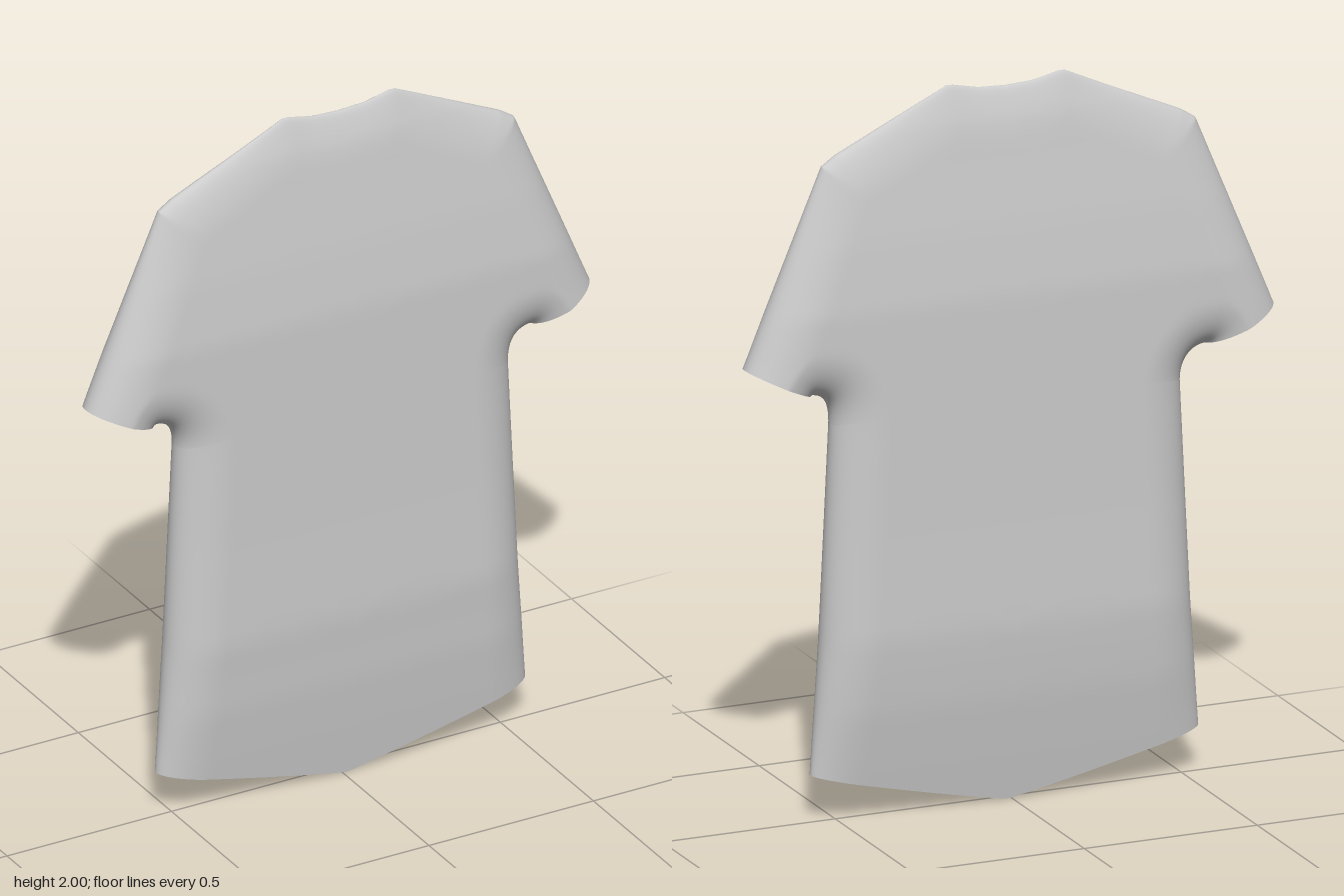
import * as THREE from 'three';
import { mergeVertices } from 'three/addons/utils/BufferGeometryUtils.js';

// Half outline of the shirt (mirrored in x)
const TOP = [[0, 1.977], [0.08, 1.981], [0.165, 2], [0.3, 1.937], [0.5, 1.845], [0.54, 1.818]];
const SIDE = [[0.13, 0.56], [0.5, 0.532], [1.1, 0.503], [1.818, 0.54]]; // y, x
const HEM_Y = 0.13, PIT_Y = 1.1, SHOULDER_Y = 1.818;
const CUFF_IN = new THREE.Vector2(0.57, 1.19), CUFF_OUT = new THREE.Vector2(0.762, 1.28);
const PIT = new THREE.Vector2(0.503, PIT_Y);
const underarm = new THREE.QuadraticBezierCurve(PIT, new THREE.Vector2(0.503, 1.185), CUFF_IN);
// Half thickness by height
const THICK = [[0, 0.031], [0.13, 0.05], [0.3, 0.073], [0.5, 0.089], [0.8, 0.086], [1.42, 0.085],
  [1.6, 0.069], [1.8, 0.046], [1.9, 0.035], [2, 0.018]];
const COLS = 44, BODY_ROWS = 30, ARM_ROWS = 40, ARM_COLS = 16;

function interp(table, x) {
  let i = 1;
  while (i < table.length - 1 && x > table[i][0]) i++;
  const [a, b] = [table[i - 1], table[i]];
  return a[1] + (b[1] - a[1]) * (x - a[0]) / (b[0] - a[0]);
}

// Closed seams: neck, shoulder and sleeve top; flank and underarm
const seams = [
  [...TOP, [CUFF_OUT.x, CUFF_OUT.y]],
  [...SIDE.slice(0, 3).map(([y, x]) => [x, y]),
    ...underarm.getPoints(ARM_COLS).slice(1).map((p) => [p.x, p.y])],
];

function seamDistance(x, y) {
  let best = Infinity;
  for (const line of seams) {
    for (let i = 1; i < line.length; i++) {
      const [ax, ay] = line[i - 1], dx = line[i][0] - ax, dy = line[i][1] - ay;
      const t = THREE.MathUtils.clamp(((x - ax) * dx + (y - ay) * dy) / (dx * dx + dy * dy), 0, 1);
      best = Math.min(best, Math.hypot(x - ax - t * dx, y - ay - t * dy));
    }
  }
  return best < 1e-5 ? 0 : best;
}

// Cloth puffs out from the seams with a rounded edge
function puff(x, y, face) {
  const t = Math.min(1, seamDistance(x, y) / 0.14);
  const round = Math.sqrt(1 - (1 - t) ** 2);
  return round * (face * interp(THICK, y) + 0.007 * Math.max(0, 1 - y / 0.4));
}

const ease = (t) => (1 - Math.cos(Math.PI * t)) / 2; // denser towards the seams

// Heights of the torso rows along the flank and armhole
const rowHeights = [];
for (let j = 0; j < BODY_ROWS; j++) rowHeights.push(HEM_Y + (PIT_Y - HEM_Y) * j / BODY_ROWS);
for (let j = 0; j <= ARM_ROWS; j++) rowHeights.push(PIT_Y + (SHOULDER_Y - PIT_Y) * ease(j / ARM_ROWS));

function torsoPoint(i, j) {
  const u = Math.sin(Math.PI / 2 * i / COLS), rowY = rowHeights[j];
  const bottom = HEM_Y * u ** 1.1, f = (rowY - HEM_Y) / (SHOULDER_Y - HEM_Y);
  return [u * interp(SIDE, rowY), bottom + f * (interp(TOP, u * 0.54) - bottom)];
}

function sleevePoint(i, j) {
  const k = i / ARM_COLS, t = ease(j / ARM_ROWS);
  const armY = PIT_Y + (SHOULDER_Y - PIT_Y) * t;
  const p = new THREE.Vector2(interp(SIDE, armY), armY)
    .lerp(CUFF_IN.clone().lerp(CUFF_OUT, t), k);
  const bend = underarm.getPoint(k).sub(PIT.clone().lerp(CUFF_IN, k));
  return p.addScaledVector(bend, (1 - t) ** 2).toArray();
}

function addPatch(out, point, cols, rows, side, face) {
  const base = out.pos.length / 3;
  for (let j = 0; j <= rows; j++) {
    for (let i = 0; i <= cols; i++) {
      const [x, y] = point(i, j);
      const shift = 0.012 * (1 - THREE.MathUtils.smoothstep(y, 1.1, 1.3))
        + 0.008 * THREE.MathUtils.smoothstep(y, 1.82, 1.97);
      out.pos.push(side * x + shift, y, puff(x, y, face));
    }
  }
  for (let j = 0; j < rows; j++) {
    for (let i = 0; i < cols; i++) {
      const a = base + j * (cols + 1) + i, b = a + 1, d = a + cols + 1, c = d + 1;
      if (side * face > 0) out.index.push(a, b, c, a, c, d);
      else out.index.push(a, c, b, a, d, c);
    }
  }
}

export function createModel() {
  const out = { pos: [], index: [] };
  for (const side of [1, -1]) {
    for (const face of [1, -1]) {
      addPatch(out, torsoPoint, COLS, rowHeights.length - 1, side, face);
      addPatch(out, sleevePoint, ARM_COLS, ARM_ROWS, side, face);
    }
  }
  // Weld the panels so the cloth shades as one smooth surface
  let geometry = new THREE.BufferGeometry();
  geometry.setAttribute('position', new THREE.Float32BufferAttribute(out.pos, 3));
  geometry.setIndex(out.index);
  geometry = mergeVertices(geometry, 1e-5);
  geometry.computeVertexNormals();

  const shirt = new THREE.Mesh(geometry,
    new THREE.MeshStandardMaterial({ color: 0xcccccc, side: THREE.DoubleSide }));
  shirt.name = 'shirt';
  const group = new THREE.Group();
  group.name = 'tShirt';
  group.add(shirt);
  return group;
}
